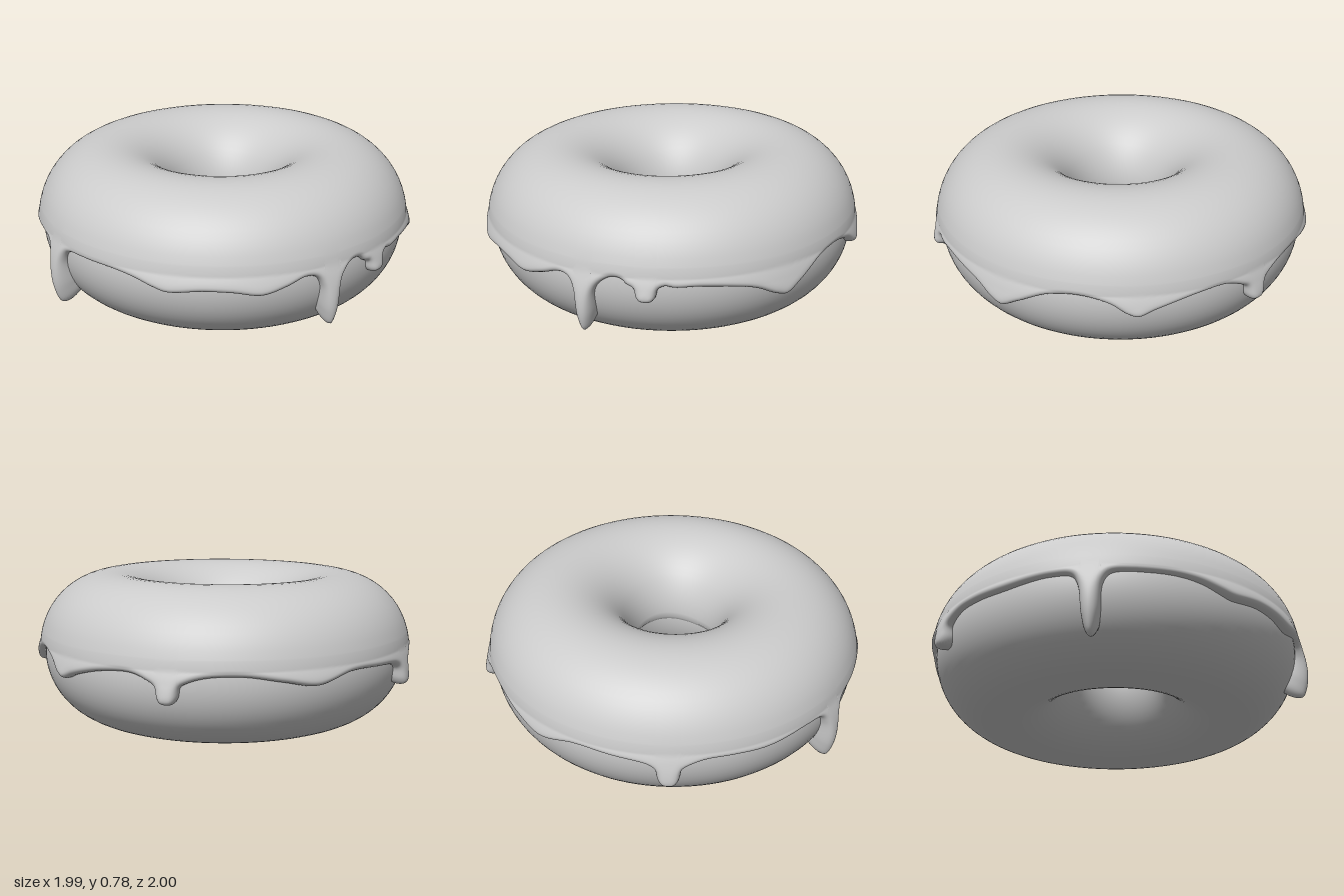
import * as THREE from 'three';

// Ring section: centre radius, half width, half height, centre height
const R = 0.6, RX = 0.36, RY = 0.365, Y0 = 0.365;
const ARC = (Math.PI / 180) * 0.96; // degrees to arc length on the outer wall
const COLS = 800, TOP_ROWS = 28, BAND_ROWS = 24, BAND_PHI = 0.3;

// Edge points of one hanging drip: [degrees, height]
function drip(a, w, top, bottom) {
  const h = top - bottom;
  const side = [[1.7, top], [1.12, top - 0.2 * h], [0.9, bottom + 0.3 * h], [0.6, bottom + 0.07 * h]];
  return [
    ...side.map(([k, y]) => [a - k * w, y]),
    [a, bottom],
    ...side.reverse().map(([k, y]) => [a + k * w, y]),
  ];
}

// Lower outer edge of the icing, going round from the front towards +x
const EDGE = [
  [0, 0.4], [12, 0.397], [19, 0.38], [25, 0.35], [29, 0.335], [39, 0.35], [47, 0.345],
  [55, 0.327], [62, 0.355], [68, 0.387],
  ...drip(76, 2.8, 0.375, 0.145),
  [84, 0.41], [87, 0.408],
  ...drip(94, 3.1, 0.385, 0.305),
  [102, 0.378], [109, 0.38], [118, 0.365], [125, 0.34], [131, 0.295], [134.5, 0.282],
  [140, 0.325], [149, 0.395], [158, 0.41], [166, 0.38], [171, 0.33], [174, 0.315],
  [179, 0.345], [190, 0.39], [200, 0.4],
  ...drip(211, 3.3, 0.37, 0.27),
  [222, 0.395], [232, 0.4], [243, 0.37], [253, 0.342], [265, 0.385], [276, 0.38],
  ...drip(292.5, 3.6, 0.36, 0.25),
  [303, 0.382], [310, 0.385], [321, 0.38], [336, 0.395],
  ...drip(347.3, 3, 0.38, 0.12),
  [354.5, 0.395], [360, 0.4],
];

const phiOf = (y) => Math.asin((y - Y0) / RY);
// Round shoulder rising from 0 at the rim to 1
const cap = (t) => Math.sqrt(1 - (1 - Math.min(1, Math.max(0, t))) ** 2);

// Distance from p to the segment a-b
function segDistance(u, v, a, b) {
  const dx = b[0] - a[0], dy = b[1] - a[1];
  const t = THREE.MathUtils.clamp(((u - a[0]) * dx + (v - a[1]) * dy) / (dx * dx + dy * dy + 1e-12), 0, 1);
  return Math.hypot(u - a[0] - t * dx, v - a[1] - t * dy);
}

function icingGeometry() {
  const curve = new THREE.CatmullRomCurve3(
    EDGE.map(([a, y]) => new THREE.Vector3(a * ARC, RX * phiOf(y), 0)), false, 'centripetal');
  curve.arcLengthDivisions = 3000;
  const total = 360 * ARC;
  const edge = curve.getSpacedPoints(COLS).slice(0, COLS).map((p) => [p.x, p.y]);
  for (let j = 1; j < COLS; j++) edge[j][0] = Math.max(edge[j][0], edge[j - 1][0] + 1e-4);
  const edgeAt = (j) => {
    const turn = Math.floor(j / COLS);
    const e = edge[j - turn * COLS];
    return [e[0] + turn * total, e[1]];
  };

  const rows = TOP_ROWS + BAND_ROWS;
  const pos = [], index = [];
  for (let j = 0; j < COLS; j++) {
    const [u, vEnd] = edge[j];
    const a = (u / total) * Math.PI * 2;
    const phiIn = Math.PI - phiOf(0.355 + 0.012 * Math.sin(3 * a + 1));
    const near = [];
    for (let k = -60; k <= 60; k++) near.push(edgeAt(j + k));

    for (let i = 0; i <= rows; i++) {
      // Upper sheet first, then a fine band down to the wavy edge
      let phi, d = 1;
      if (i <= TOP_ROWS) {
        const t = i / TOP_ROWS;
        phi = phiIn + (BAND_PHI - phiIn) * (t < 0.2 ? t * t * 2.5 + t * 0.5 : t);
        d = (phiIn - phi) * RX;
      } else {
        const t = (i - TOP_ROWS) / BAND_ROWS;
        phi = BAND_PHI + (vEnd / RX - BAND_PHI) * (1 - (1 - t) ** 1.6);
        for (let k = 0; k + 1 < near.length; k++) {
          d = Math.min(d, segDistance(u, phi * RX, near[k], near[k + 1]));
        }
        if (i === rows) d = 0;
      }
      const c = Math.cos(phi), s = Math.sin(phi);
      const y = Y0 + RY * s;
      // Thicker on top and where it hangs in drips
      const sheet = 0.021 + 0.005 * c + Math.max(0, s) * (0.018 + 0.008 * Math.cos(a - 3.6));
      const hang = c > 0 ? 0.33 * Math.max(0, 0.42 - y) : 0;
      const off = sheet * cap(d / 0.028) + hang * cap(d / 0.05) - 0.001;
      const r = R + (RX + off) * c;
      pos.push(r * Math.sin(a), Y0 + (RY + off) * s, r * Math.cos(a));
    }
  }
  const id = (i, j) => (j % COLS) * (rows + 1) + i;
  for (let j = 0; j < COLS; j++) {
    for (let i = 0; i < rows; i++) {
      index.push(id(i, j), id(i + 1, j), id(i, j + 1));
      index.push(id(i + 1, j), id(i + 1, j + 1), id(i, j + 1));
    }
  }
  const geo = new THREE.BufferGeometry();
  geo.setAttribute('position', new THREE.Float32BufferAttribute(pos, 3));
  geo.setIndex(index);
  geo.computeVertexNormals();
  return geo;
}

export function createModel() {
  const group = new THREE.Group();
  group.name = 'donut';
  const material = new THREE.MeshStandardMaterial({ color: 0xcccccc });

  // Baked ring
  const ring = new THREE.TorusGeometry(R, RX, 64, 128);
  ring.rotateX(Math.PI / 2);
  ring.scale(1, RY / RX, 1);
  const dough = new THREE.Mesh(ring, material);
  dough.name = 'dough';
  dough.position.y = Y0;

  // Glaze with its drips
  const icing = new THREE.Mesh(icingGeometry(), material.clone());
  icing.material.side = THREE.DoubleSide;
  icing.name = 'icing';

  group.add(dough, icing);
  group.position.x = -0.01;
  return group;
}
